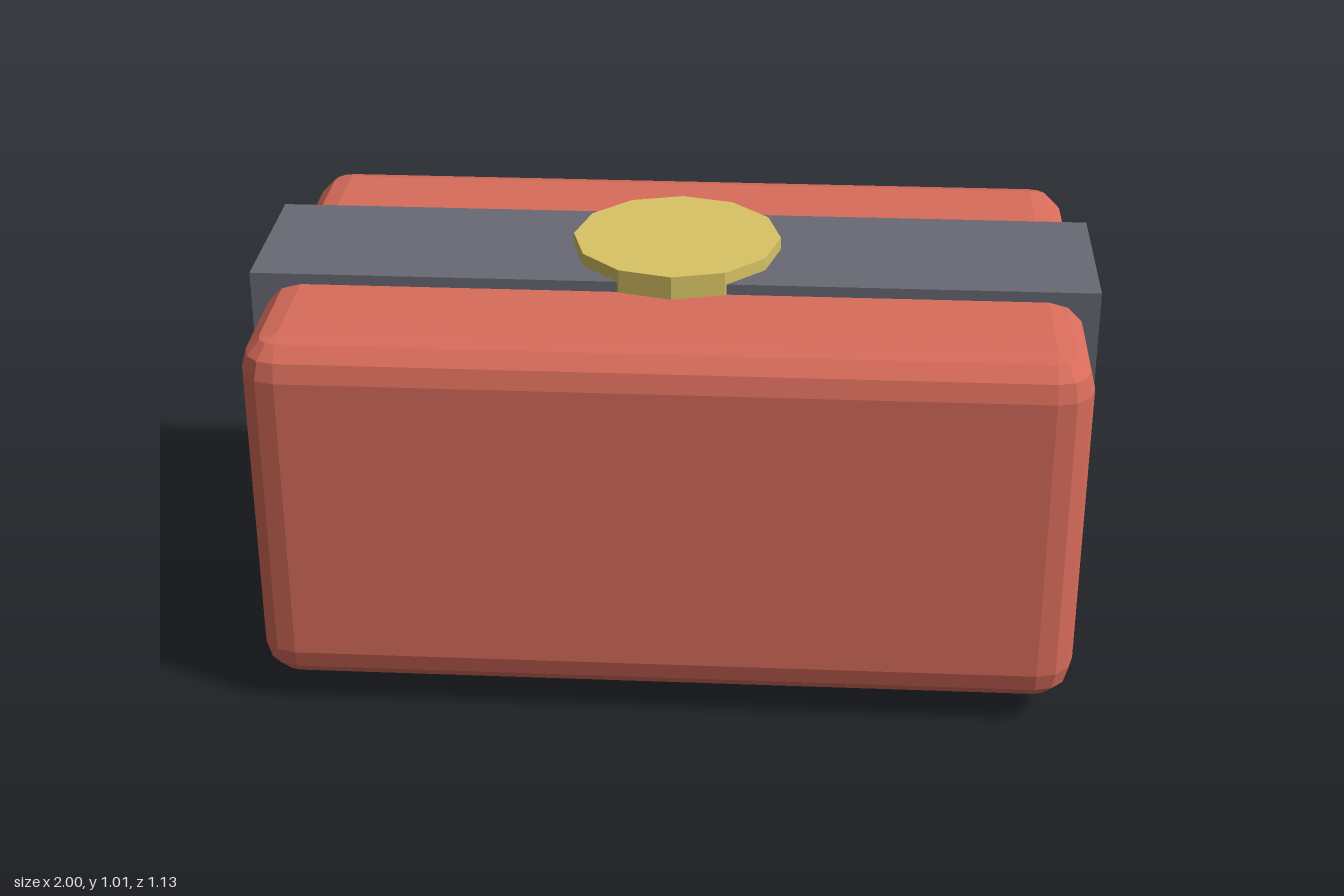
import * as THREE from 'three';
import { ConvexGeometry } from 'three/addons/geometries/ConvexGeometry.js';

const mat = (name, color) => {
  const m = new THREE.MeshStandardMaterial({ color, flatShading: true });
  m.name = name;
  return m;
};

// Box with edges rounded in three flat facets: the hull of eight corner spheres
function bevelledBox(w, h, d, r) {
  const ball = new THREE.SphereGeometry(r, 12, 6).attributes.position;
  const points = new Map();
  for (const sx of [-1, 1]) for (const sy of [-1, 1]) for (const sz of [-1, 1]) {
    for (let i = 0; i < ball.count; i++) {
      const p = new THREE.Vector3().fromBufferAttribute(ball, i);
      // keep only the outward octant of each corner
      if (p.x * sx < -1e-6 || p.y * sy < -1e-6 || p.z * sz < -1e-6) continue;
      p.x += sx * (w / 2 - r);
      p.y += sy * (h / 2 - r);
      p.z += sz * (d / 2 - r);
      const key = p.toArray().map((v) => Math.round(v * 1e5)).join();
      points.set(key, p);
    }
  }
  return new ConvexGeometry([...points.values()]);
}

export function createModel() {
  const group = new THREE.Group();
  const red = mat('red', 0xd86c5b);
  const grey = mat('grey', 0x696974);
  const gold = mat('gold', 0xd8c364);

  const add = (name, geometry, material, y) => {
    const mesh = new THREE.Mesh(geometry, material);
    mesh.name = name;
    mesh.position.y = y;
    group.add(mesh);
  };

  // Rounded main block
  add('body', bevelledBox(1.94, 0.895, 1.13, 0.09), red, 0.5075);
  // Strap wrapped around the middle
  add('band', new THREE.BoxGeometry(2, 0.95, 0.426), grey, 0.506);
  // Twelve-sided pin, showing as a disc above and below
  add('pin', new THREE.CylinderGeometry(0.25, 0.25, 1.012, 12), gold, 0.506);

  return group;
}
